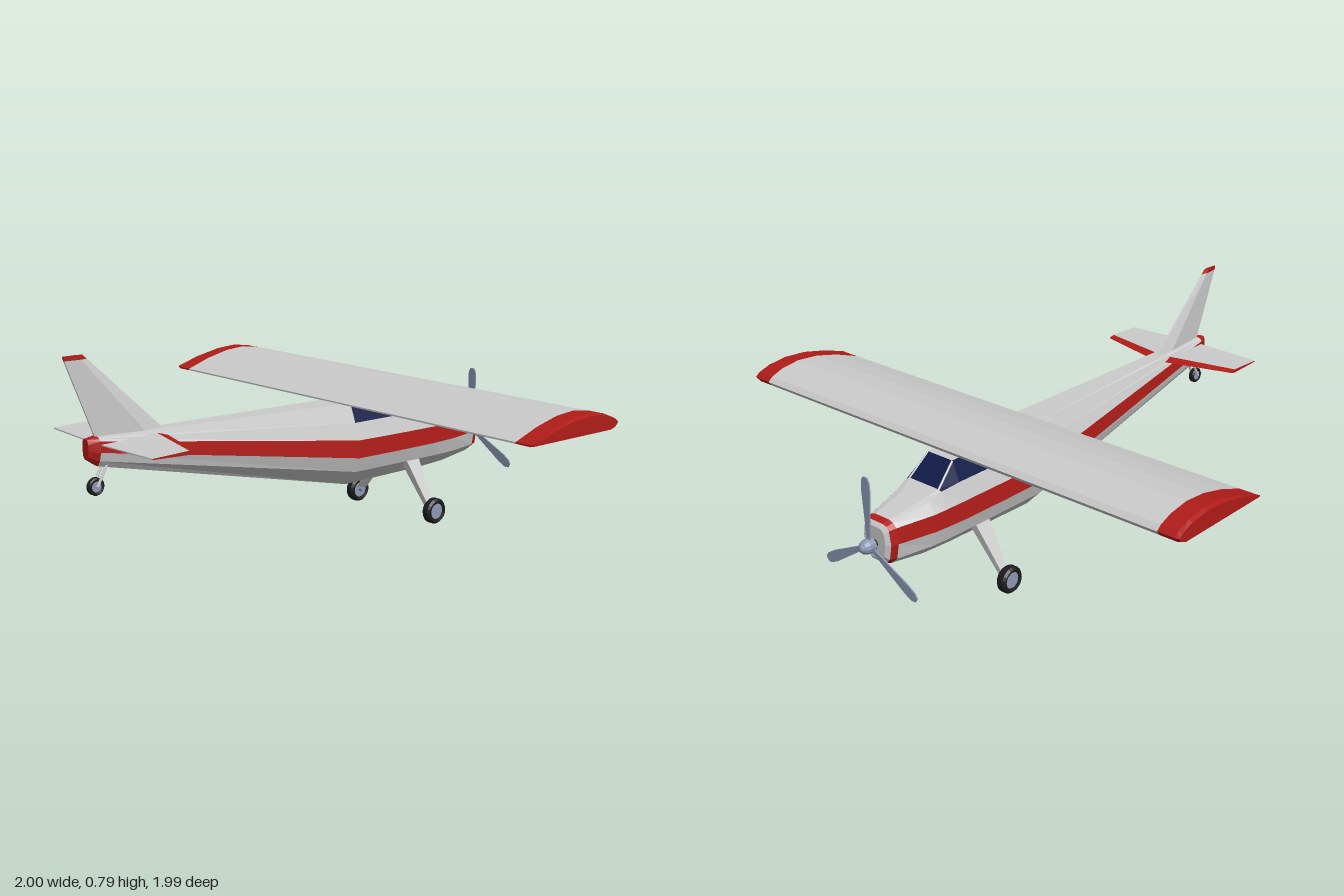
import * as THREE from 'three';

const mat = (color) => new THREE.MeshStandardMaterial({ color, flatShading: true });
const M = {
  body: mat(0xcccccc), red: mat(0xb01c18), glass: mat(0x101c48),
  metal: mat(0x8c98b4), tire: mat(0x1c1c1c),
};
const V = (x, y, z) => new THREE.Vector3(x, y, z);

// Skins closed rings into one mesh per material; pick(i, j) names the material of
// side j between ring i and i + 1. Rings run anticlockwise seen from the far end.
function loft(name, rings, pick = () => 'body') {
  const bins = {};
  const tri = (key, ...pts) => (bins[key] ??= []).push(...pts);
  const n = rings[0].length, last = rings.length - 1;
  for (let i = 0; i < last; i++) {
    for (let j = 0; j < n; j++) {
      const k = (j + 1) % n, a = rings[i][j], b = rings[i][k], c = rings[i + 1][k], d = rings[i + 1][j];
      tri(pick(i, j), a, b, c);
      tri(pick(i, j), a, c, d);
    }
  }
  for (const [ring, flip, i] of [[rings[0], true, 0], [rings[last], false, last - 1]]) {
    const mid = ring.reduce((s, p) => s.add(p), V(0, 0, 0)).divideScalar(n);
    ring.forEach((p, j) => {
      const q = ring[(j + 1) % n];
      flip ? tri(pick(i, 0), mid, q, p) : tri(pick(i, 0), mid, p, q);
    });
  }
  const group = new THREE.Group();
  group.name = name;
  for (const key in bins) {
    const geo = new THREE.BufferGeometry().setFromPoints(bins[key]);
    geo.computeVertexNormals();
    const mesh = new THREE.Mesh(geo, M[key]);
    mesh.name = `${name}_${key}`;
    group.add(mesh);
  }
  return group;
}

function add(parent, name, geo, material, x = 0, y = 0, z = 0) {
  const mesh = new THREE.Mesh(geo, material);
  mesh.name = name;
  mesh.position.set(x, y, z);
  parent.add(mesh);
  return mesh;
}

// Rectangle lying flat, for bars that rise along y
const rect = (x, y, z, w, d) => [V(x + w, y, z + d), V(x + w, y, z - d), V(x - w, y, z - d), V(x - w, y, z + d)];

// Round bar between two points
function rod(parent, name, a, b, r, material) {
  const bar = add(parent, name, new THREE.CylinderGeometry(r, r, a.distanceTo(b), 8), material);
  bar.position.copy(a).lerp(b, 0.5);
  bar.quaternion.setFromUnitVectors(V(0, 1, 0), b.clone().sub(a).normalize());
}

function fuselage() {
  // z, then x,y of: belly, lower edge, stripe bottom, stripe top, sill, roof edge
  const stations = [
    [-0.932, 0.02, 0.228, 0.042, 0.245, 0.05, 0.29, 0.045, 0.33, 0.035, 0.343, 0.022, 0.347],
    [-0.92, 0.03, 0.213, 0.056, 0.235, 0.066, 0.29, 0.058, 0.342, 0.047, 0.355, 0.03, 0.36],
    [-0.895, 0.03, 0.203, 0.064, 0.232, 0.075, 0.29, 0.068, 0.347, 0.052, 0.362, 0.033, 0.368],
    [-0.75, 0.035, 0.183, 0.09, 0.231, 0.105, 0.288, 0.1, 0.35, 0.078, 0.39, 0.05, 0.395],
    [-0.7, 0.035, 0.18, 0.092, 0.23, 0.108, 0.287, 0.104, 0.351, 0.082, 0.412, 0.07, 0.417],
    [-0.62, 0.035, 0.176, 0.094, 0.23, 0.112, 0.286, 0.107, 0.352, 0.088, 0.42, 0.058, 0.492],
    [-0.44, 0.035, 0.173, 0.095, 0.23, 0.114, 0.286, 0.109, 0.353, 0.088, 0.42, 0.06, 0.492],
    [-0.432, 0.035, 0.173, 0.095, 0.23, 0.114, 0.286, 0.109, 0.353, 0.088, 0.42, 0.06, 0.492],
    [-0.22, 0.035, 0.17, 0.095, 0.23, 0.115, 0.287, 0.109, 0.355, 0.088, 0.42, 0.06, 0.492],
    [0.87, 0.01, 0.41, 0.024, 0.43, 0.032, 0.46, 0.03, 0.498, 0.025, 0.506, 0.016, 0.511],
    [0.91, 0.008, 0.437, 0.015, 0.447, 0.018, 0.465, 0.018, 0.49, 0.014, 0.502, 0.01, 0.506],
  ];
  const rings = stations.map(([z, ...p]) => {
    const half = [0, 1, 2, 3, 4, 5].map((k) => V(p[2 * k], p[2 * k + 1], z));
    return [...half, ...half.map((v) => V(-v.x, v.y, z)).reverse()];
  });
  return loft('fuselage', rings, (i, j) => {
    const k = Math.min(j, 10 - j);
    if (i === 1 || i === 9) return 'red';
    if (i === 0) return 'body';
    if (k === 2) return 'red';
    if ((k === 4 && i >= 4 && i <= 7 && i !== 6) || (j === 5 && i === 4)) return 'glass';
    return 'body';
  });
}

function wing() {
  const profile = [[-0.605, 0.503], [-0.618, 0.52], [-0.6, 0.536], [-0.55, 0.555], [-0.47, 0.566],
    [-0.38, 0.559], [-0.28, 0.535], [-0.175, 0.498], [-0.175, 0.492], [-0.58, 0.493]];
  const spans = [[-1, 0.86], [-0.985, 1], [-0.92, 1], [0.92, 1], [0.985, 1], [1, 0.86]];
  const rings = spans.map(([x, s]) => profile.map(([z, y]) => V(x, 0.52 + (y - 0.52) * s, -0.4 + (z + 0.4) * (0.9 + s * 0.1))));
  return loft('wing', rings, (i) => (i === 2 ? 'body' : 'red'));
}

function tailplane() {
  // x, leading edge, paint line, trailing edge, half thickness
  const half = [[0.02, 0.6, 0.642, 0.868, 0.011], [0.305, 0.68, 0.707, 0.85, 0.007]];
  const spans = [...half.map(([x, ...r]) => [-x, ...r]).reverse(), ...half];
  const rings = spans.map(([x, a, b, c, t]) => [V(x, 0.485, a), V(x, 0.485 + t, b), V(x, 0.487, c),
    V(x, 0.483, c), V(x, 0.485 - t, b)]);
  return loft('tailplane', rings, (i, j) => (j === 0 || j === 4 ? 'red' : 'body'));
}

function fin() {
  // y, leading edge, trailing edge, half thickness
  const levels = [[0.495, 0.59, 0.868, 0.018], [0.775, 0.893, 0.98, 0.008], [0.79, 0.91, 0.985, 0.006]];
  const rings = levels.map(([y, a, c, t]) => {
    const b = a + (c - a) * 0.3;
    return [V(0, y, a), V(-t, y, b), V(-0.003, y, c), V(0.003, y, c), V(t, y, b)];
  });
  return loft('fin', rings, (i) => (i === 1 ? 'red' : 'body'));
}

// Wheel with its axle along x
function wheel(name, r, w, x, y, z) {
  const g = new THREE.Group();
  g.name = name;
  const tread = [[0.62, -0.4], [0.85, -0.5], [1, -0.28], [1, 0.28], [0.85, 0.5], [0.62, 0.4], [0.62, -0.4]];
  const tire = new THREE.LatheGeometry(tread.map(([a, b]) => new THREE.Vector2(a * r, b * w)), 20);
  add(g, 'tire', tire.rotateZ(Math.PI / 2), M.tire);
  add(g, 'hub', new THREE.CylinderGeometry(r * 0.64, r * 0.64, w * 0.7, 16).rotateZ(Math.PI / 2), M.metal);
  g.position.set(x, y, z);
  return g;
}

function propeller() {
  const g = new THREE.Group();
  g.name = 'propeller';
  const nose = [[0, -0.012], [0.026, -0.012], [0.026, 0.012], [0.021, 0.028], [0.011, 0.038], [0, 0.042]];
  const spinner = new THREE.LatheGeometry(nose.map(([r, y]) => new THREE.Vector2(r, y)), 12);
  add(g, 'spinner', spinner.rotateX(-Math.PI / 2), M.metal);
  add(g, 'shaft', new THREE.CylinderGeometry(0.014, 0.014, 0.04, 10).rotateX(Math.PI / 2), M.tire, 0, 0, 0.015);
  // Three blades, widest near the tip
  const widths = [[0.01, 0.007], [0.05, 0.009], [0.2, 0.02], [0.235, 0.018], [0.25, 0.009]];
  for (let i = 0; i < 3; i++) {
    const blade = loft('blade', widths.map(([y, w]) => rect(0, y, 0, w, 0.0025)), () => 'metal');
    blade.rotation.z = (i * Math.PI * 2) / 3;
    g.add(blade);
  }
  g.position.set(0, 0.285, -0.958);
  return g;
}

export function createModel() {
  const model = new THREE.Group();
  model.name = 'airplane';
  model.add(fuselage(), wing(), tailplane(), fin(), propeller());

  for (const s of [1, -1]) {
    // Windshield post
    rod(model, 'windshieldPost', V(s * 0.058, 0.49, -0.62), V(s * 0.07, 0.416, -0.7), 0.004, M.body);
    // Main gear leg, axle and wheel
    model.add(loft('gearLeg', [rect(s * 0.192, 0.065, -0.52, 0.012, 0.014), rect(s * 0.08, 0.23, -0.52, 0.02, 0.033)]));
    rod(model, 'axle', V(s * 0.185, 0.052, -0.52), V(s * 0.22, 0.052, -0.52), 0.009, M.metal);
    model.add(wheel('mainWheel', 0.05, 0.04, s * 0.22, 0.05, -0.52));
    // Tail wheel fork
    rod(model, 'tailFork', V(s * 0.012, 0.425, 0.83), V(s * 0.014, 0.34, 0.876), 0.005, M.body);
  }
  model.add(wheel('tailWheel', 0.031, 0.024, 0, 0.34, 0.876));
  return model;
}
